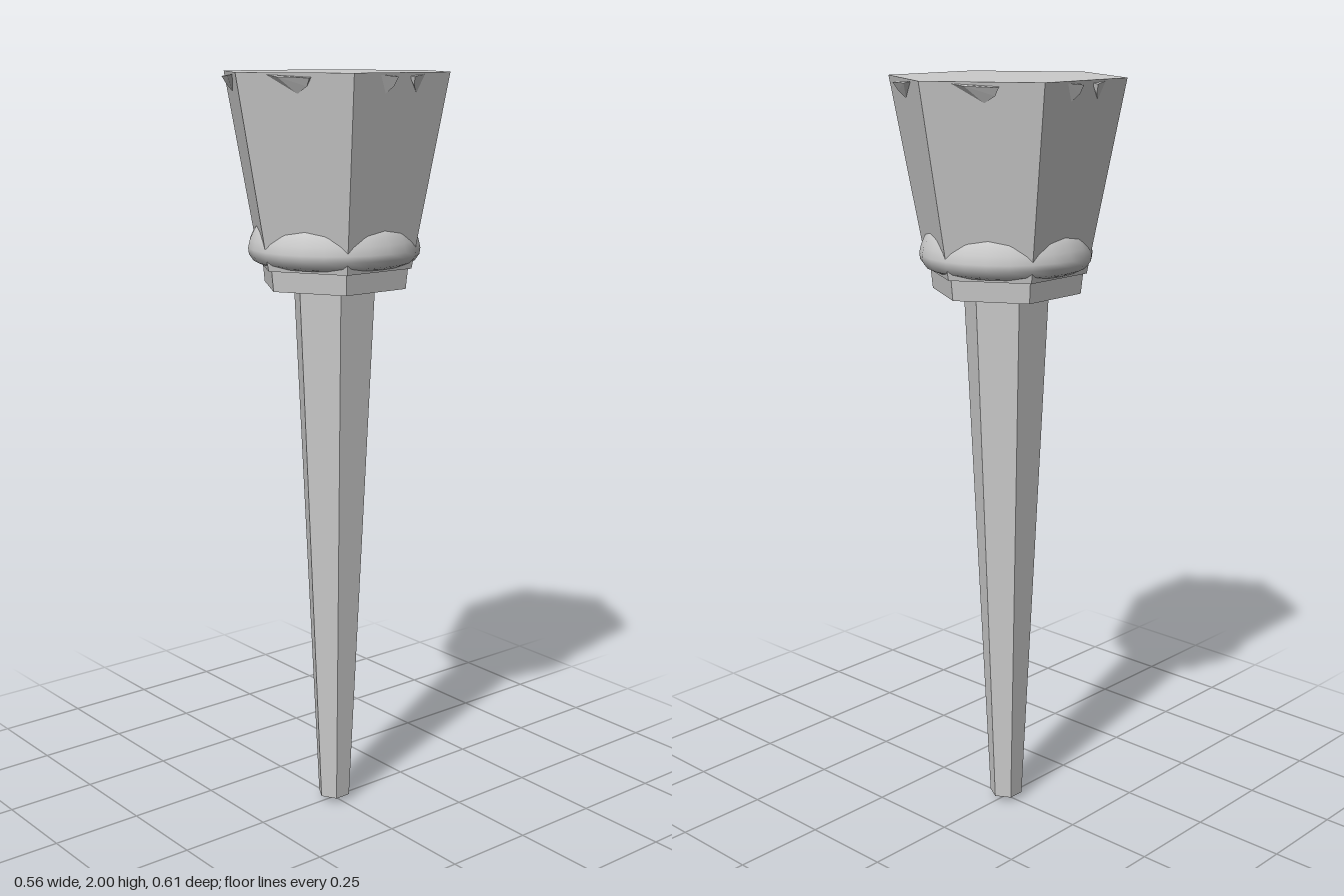
import * as THREE from 'three';
import { ConvexGeometry } from 'three/addons/geometries/ConvexGeometry.js';

export function createModel() {
  const model = new THREE.Group();
  const flat = new THREE.MeshStandardMaterial({ color: 0xcccccc, flatShading: true });
  const smooth = new THREE.MeshStandardMaterial({ color: 0xcccccc, side: THREE.DoubleSide });

  function add(name, geometry, material = flat) {
    const mesh = new THREE.Mesh(geometry, material);
    mesh.name = name;
    model.add(mesh);
    return mesh;
  }

  // Six-sided tapered section with corners on the z axis
  function hexSection(name, rBottom, rTop, y0, y1) {
    add(name, new THREE.CylinderGeometry(rTop, rBottom, y1 - y0, 6)).position.y = (y0 + y1) / 2;
  }

  hexSection('tip', 0.006, 0.014, 0, 0.016);
  hexSection('handle', 0.045, 0.114, 0.015, 1.47);
  hexSection('collar', 0.197, 0.204, 1.457, 1.522);
  hexSection('head', 0.212, 0.307, 1.51, 2);

  // Rounded ring whose upper edge sinks into the corners of the head
  const ringProfile = [
    [0.165, 1.528], [0.19, 1.516], [0.21, 1.525], [0.222, 1.542],
    [0.224, 1.558], [0.219, 1.58], [0.21, 1.6], [0.199, 1.618], [0.18, 1.63],
  ].map(([r, y]) => new THREE.Vector2(r, y));
  add('ring', new THREE.LatheGeometry(ringProfile, 24), smooth);

  // Chip on a head face: points given as [along face, outward, height]
  function rimChip(name, angle, points) {
    const normal = new THREE.Vector3(Math.sin(angle), 0, Math.cos(angle));
    const along = new THREE.Vector3(Math.cos(angle), 0, -Math.sin(angle));
    const corners = points.map(([u, out, y]) =>
      new THREE.Vector3(0, y, 0)
        .addScaledVector(normal, 0.266 + out)
        .addScaledVector(along, u));
    add(name, new ConvexGeometry(corners));
  }

  const wideChip = [
    [-0.073, -0.001, 1.995], [-0.04, 0.008, 1.99], [0.046, 0.015, 1.988],
    [0.042, -0.008, 1.99], [0.005, -0.009, 1.95], [0.035, 0.004, 1.968],
  ];
  const smallChip = [
    [0.026, 0.012, 1.99], [0.024, -0.006, 1.992], [0.07, -0.001, 1.995],
    [0.05, -0.009, 1.95], [0.032, 0.003, 1.968],
  ];
  const mirrored = (points, side) => points.map(([u, out, y]) => [u * side, out, y]);

  for (const side of [1, -1]) {
    // Wide chips on the four slanted faces
    rimChip('frontRimChip', side * Math.PI / 6, mirrored(wideChip, side));
    rimChip('backRimChip', Math.PI - side * Math.PI / 6, mirrored(wideChip, -side));
    // Pairs of small chips on the two side faces
    for (const end of [1, -1]) {
      rimChip('sideRimChip', side * Math.PI / 2, mirrored(smallChip, end));
    }
  }

  return model;
}
